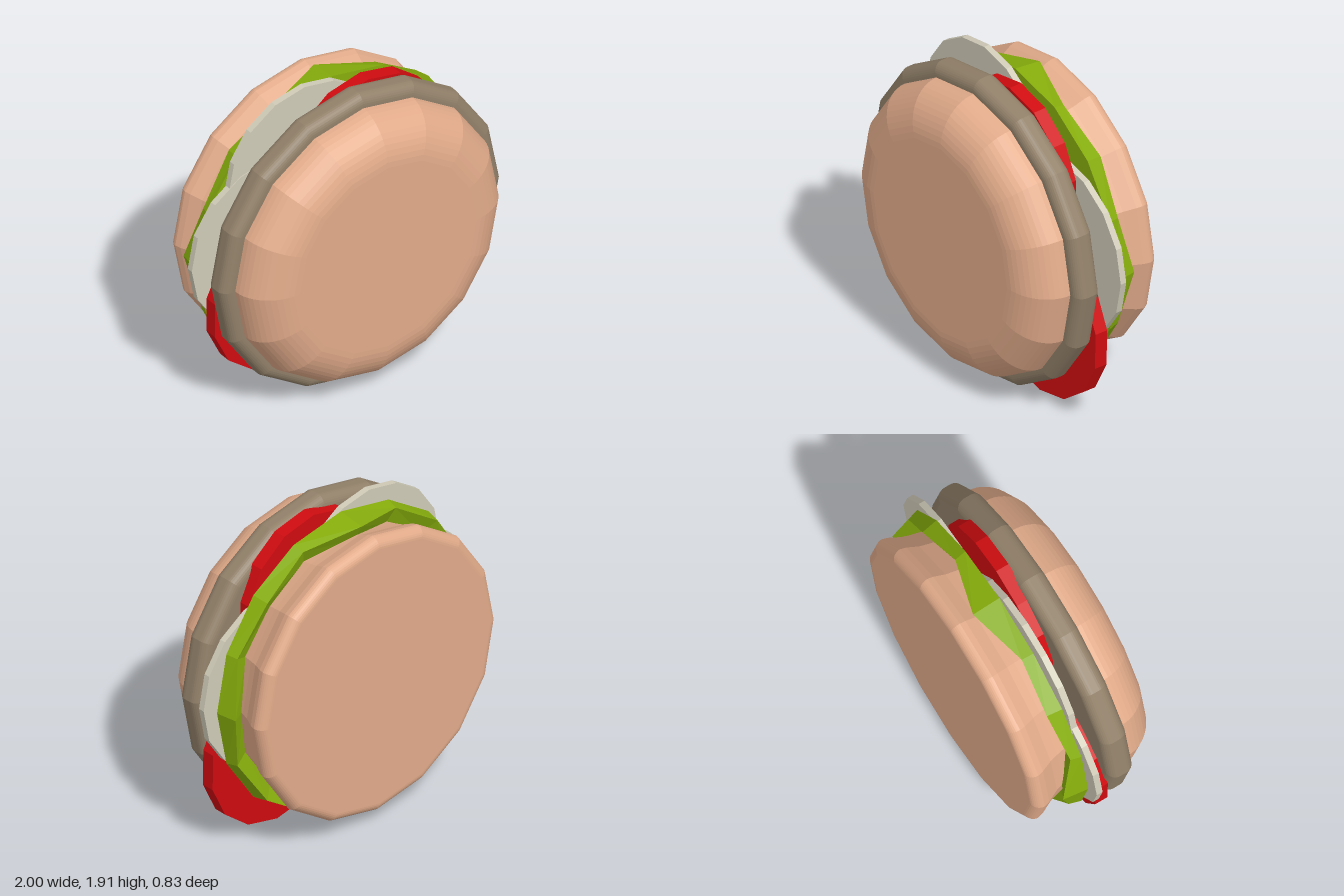
import * as THREE from 'three';

const CX = -0.01, CY = 0.955, SIDES = 16;

function material(color) {
  return new THREE.MeshStandardMaterial({ color, flatShading: true });
}

// Points of a quarter ellipse, as [radius, z]
function arc(cr, cz, rr, rz, from, to, steps = 8) {
  return Array.from({ length: steps + 1 }, (_, i) => {
    const a = from + (to - from) * i / steps;
    return [cr + rr * Math.cos(a), cz + rz * Math.sin(a)];
  });
}

// Sixteen-sided turned body whose axis points to the front
function turned(name, profile, color) {
  const geometry = new THREE.LatheGeometry(profile.map(([r, z]) => new THREE.Vector2(r, z)), SIDES);
  geometry.rotateX(Math.PI / 2);
  const mesh = new THREE.Mesh(geometry, material(color));
  mesh.name = name;
  mesh.position.set(CX, CY, 0);
  return mesh;
}

// Group of overlapping round slices: [x, y, radius, tilt]
function slices(name, list, sides, z, thickness, color) {
  const group = new THREE.Group();
  group.name = name;
  list.forEach(([x, y, r, tilt], i) => {
    const geometry = new THREE.CylinderGeometry(r, r, thickness, sides).rotateX(Math.PI / 2);
    const mesh = new THREE.Mesh(geometry, material(color));
    mesh.name = name + 'Slice' + (i + 1);
    mesh.position.set(x, y, z + i * 0.002);
    mesh.rotation.x = tilt;
    group.add(mesh);
  });
  return group;
}

// Leaf: flat disc with a wavy rim that folds backwards
function lettuceLeaf() {
  const depth = [0.23, 0.17, 0.2, 0.17, 0.27, 0.17, 0.19, 0.16,
    0.25, 0.17, 0.2, 0.17, 0.29, 0.2, 0.2, 0.17];
  // Each ring: radius and z at a given rim vertex
  const rings = [
    () => [0, -0.1],
    () => [0.92, -0.1],
    i => [0.9, -depth[i]],
    i => [0.79, -Math.max(0.13, depth[i] - 0.06)],
    () => [0, -0.13],
  ];
  const positions = [], index = [];
  rings.forEach(ring => {
    for (let i = 0; i < SIDES; i++) {
      const [r, z] = ring(i), a = i / SIDES * Math.PI * 2;
      // the lowest part of the leaf hangs a little further out
      const R = r > 0.85 && i === 12 ? r + 0.03 : r;
      positions.push(R * Math.cos(a), R * Math.sin(a), z);
    }
  });
  for (let k = 0; k < rings.length - 1; k++) {
    for (let i = 0; i < SIDES; i++) {
      const j = (i + 1) % SIDES;
      const a = k * SIDES + i, b = k * SIDES + j, c = a + SIDES, d = b + SIDES;
      if (k > 0) index.push(a, d, b);
      if (k < rings.length - 2) index.push(a, c, d);
      else index.push(a, c, b);
      if (k === 0) index.splice(-3, 3, a, c, d);
    }
  }
  const geometry = new THREE.BufferGeometry();
  geometry.setAttribute('position', new THREE.Float32BufferAttribute(positions, 3));
  geometry.setIndex(index);
  geometry.computeVertexNormals();
  const mesh = new THREE.Mesh(geometry, material(0x86ad0c));
  mesh.material.side = THREE.DoubleSide;
  mesh.name = 'lettuce';
  mesh.position.set(CX, CY, 0);
  return mesh;
}

export function createModel() {
  const group = new THREE.Group();
  group.name = 'burger';
  const q = Math.PI / 2;

  // Domed bun half at the front
  group.add(turned('topBun', [
    [0, 0.15], [0.86, 0.15], ...arc(0.6, 0.19, 0.27, 0.23, 0, q, 12), [0, 0.42],
  ], 0xe2ab8a));

  // Patty with rounded edges
  group.add(turned('patty', [
    [0, 0.03], ...arc(0.885, 0.09, 0.065, 0.06, -q, 0), ...arc(0.885, 0.13, 0.065, 0.06, 0, q), [0, 0.19],
  ], 0x918069));

  // Fillings
  group.add(slices('tomato', [
    [0.4, 0.535, 0.5, -0.02], [-0.43, 0.68, 0.49, 0.01], [0.13, 1.38, 0.5, 0.01],
  ], 14, -0.002, 0.08, 0xd00c10));
  group.add(slices('onion', [
    [-0.23, 1.4, 0.52, 0], [0.46, 1.0, 0.54, 0], [-0.46, 1.0, 0.54, 0], [0.05, 0.57, 0.52, 0],
  ], 16, -0.073, 0.038, 0xd0cbb8));
  group.add(lettuceLeaf());

  // Flat bun half at the back, flaring slightly
  group.add(turned('bottomBun', [
    [0, -0.415], ...arc(0.82, -0.355, 0.06, 0.06, -q, 0), [0.87, -0.32], [0.835, -0.25], [0.82, -0.2], [0.8, -0.12], [0, -0.12],
  ], 0xe2ab8a));
  return group;
}
